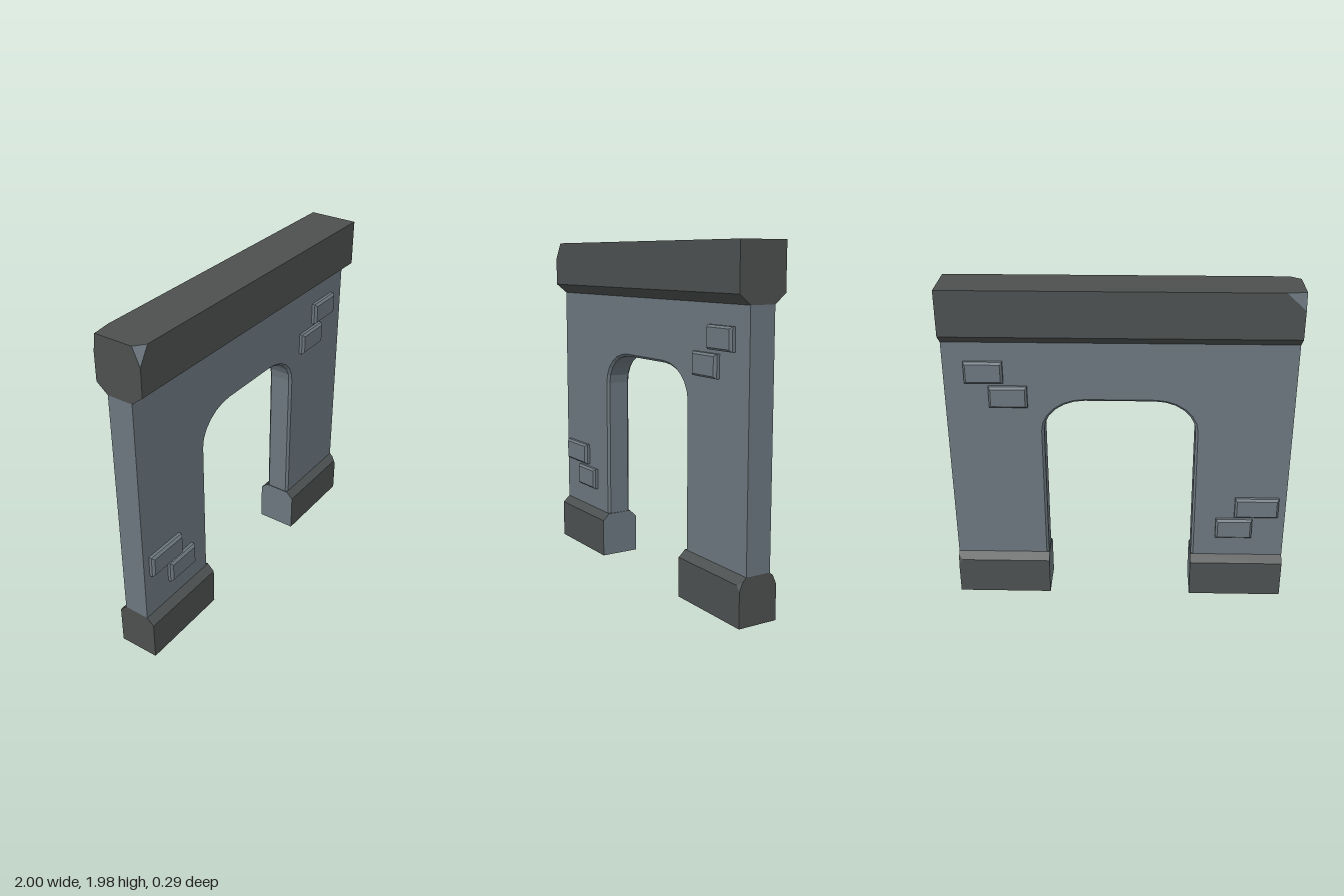
import * as THREE from 'three';

const stone = new THREE.MeshStandardMaterial({ color: 0x6b777e, side: THREE.DoubleSide });
stone.name = 'blue grey stone';
const trim = new THREE.MeshStandardMaterial({ color: 0x4d5050, side: THREE.DoubleSide });
trim.name = 'dark trim stone';

const WALL_Z = 0.077, WALL_LOW = 0.27, WALL_TOP = 1.66;

// Flat polygons, fanned into triangles; faces turn away from the given centre.
function facets(name, material, polygons, center) {
  const out = [];
  const v = (p) => new THREE.Vector3(...p);
  for (const poly of polygons) {
    const pts = poly.map(v);
    if (center) {
      const n = pts[1].clone().sub(pts[0]).cross(pts[2].clone().sub(pts[0]));
      if (n.dot(pts[0].clone().sub(v(center))) < 0) pts.reverse();
    }
    for (let i = 1; i < pts.length - 1; i++) {
      for (const p of [pts[0], pts[i], pts[i + 1]]) out.push(p.x, p.y, p.z);
    }
  }
  const geo = new THREE.BufferGeometry();
  geo.setAttribute('position', new THREE.Float32BufferAttribute(out, 3));
  geo.computeVertexNormals();
  const mesh = new THREE.Mesh(geo, material);
  mesh.name = name;
  return mesh;
}

// Doorway outline from left foot, over the rounded top, to right foot.
function archOutline(grow) {
  const w = 0.44 + grow, top = 1.302 + grow, rx = 0.24 + grow, ry = 0.19 + grow;
  const half = [[-w, WALL_LOW]];
  for (let i = 0; i <= 6; i++) {
    const a = (i / 6) * Math.PI / 2;
    half.push([-w + rx - rx * Math.cos(a), top - ry + ry * Math.sin(a)]);
  }
  return [...half, ...half.map(([x, y]) => [-x, y]).reverse()];
}

function makeWall() {
  const wall = new THREE.Group();
  wall.name = 'wall';
  const inner = archOutline(0), outer = archOutline(0.014);

  // Front and back faces
  const shape = new THREE.Shape([
    [-1, WALL_LOW], ...outer, [1, WALL_LOW], [1, WALL_TOP], [-1, WALL_TOP],
  ].map(([x, y]) => new THREE.Vector2(x, y)));
  for (const side of [1, -1]) {
    const geo = new THREE.ShapeGeometry(shape);
    if (side < 0) geo.rotateY(Math.PI);
    geo.translate(0, 0, side * WALL_Z);
    const face = new THREE.Mesh(geo, stone);
    face.name = side > 0 ? 'wallFront' : 'wallBack';
    wall.add(face);
  }

  // Bevelled edge and lining of the doorway
  const rings = [[outer, WALL_Z], [inner, WALL_Z - 0.014], [inner, -WALL_Z + 0.014], [outer, -WALL_Z]];
  const quads = [];
  for (let r = 0; r < 3; r++) {
    const [a, za] = rings[r], [b, zb] = rings[r + 1];
    for (let i = 0; i < a.length - 1; i++) {
      quads.push([[...a[i], za], [...b[i], zb], [...b[i + 1], zb], [...a[i + 1], za]]);
    }
  }
  wall.add(facets('archLining', stone, quads));

  // Outer ends
  wall.add(facets('wallEnds', stone, [-1, 1].map((x) => [
    [x, WALL_LOW, WALL_Z], [x, WALL_LOW, -WALL_Z], [x, WALL_TOP, -WALL_Z], [x, WALL_TOP, WALL_Z],
  ]), [0, 1, 0]));
  return wall;
}

// Heavy top beam with a tapered underside and two chipped corners at x = -1
function makeCap() {
  const cap = new THREE.Group();
  cap.name = 'cap';
  const Z = 0.145, T = 1.98, M = 1.715, center = [0, 1.83, 0];
  const chip = {
    front: [[-0.94, T, Z], [-1, 1.88, Z], [-1, T, 0.1]],
    back: [[-0.89, T, -Z], [-1, 1.88, -Z], [-1, T, -0.13]],
  };
  const { front: f, back: b } = chip;
  const polygons = [
    [f[0], [1, T, Z], [1, T, -Z], b[0], b[2], f[2]],
    [[-1, M, Z], [1, M, Z], [1, T, Z], f[0], f[1]],
    [[-1, M, -Z], [1, M, -Z], [1, T, -Z], b[0], b[1]],
    [[-1, WALL_TOP, WALL_Z], [-1, M, Z], f[1], f[2], b[2], b[1], [-1, M, -Z], [-1, WALL_TOP, -WALL_Z]],
    [[1, WALL_TOP, WALL_Z], [1, M, Z], [1, T, Z], [1, T, -Z], [1, M, -Z], [1, WALL_TOP, -WALL_Z]],
  ];
  for (const s of [1, -1]) {
    polygons.push([[-1, WALL_TOP, s * WALL_Z], [1, WALL_TOP, s * WALL_Z], [1, M, s * Z], [-1, M, s * Z]]);
  }
  cap.add(facets('capBlock', trim, polygons, center));
  cap.add(facets('capChips', stone, [f, b], center));
  return cap;
}

// Hollow footing, open below; its doorway side is plain stone
function makeBase(side) {
  const base = new THREE.Group();
  base.name = side > 0 ? 'leftBase' : 'rightBase';
  const Z = 0.12, M = 0.23, T = WALL_LOW, xi = side * 0.436, xo = side;
  const center = [side * 0.72, 0.13, 0];
  const chipped = side > 0;
  const polygons = [[[xi, T, WALL_Z], [xo, T, WALL_Z], [xo, T, -WALL_Z], [xi, T, -WALL_Z]]];
  const endHalf = {};
  for (const s of [1, -1]) {
    // The outer shoulder is either a plain corner or a small chip
    const corner = [xo, M, s * Z];
    const a = chipped ? [xo - 0.025, M, s * Z] : corner;
    const b = chipped ? [xo, 0.2, s * Z] : corner;
    const c = chipped ? [xo, 0.25, s * 0.0985] : corner;
    polygons.push([[xi, 0, s * Z], [xo, 0, s * Z], b, ...(chipped ? [a] : []), [xi, M, s * Z]]);
    polygons.push([[xi, T, s * WALL_Z], [xi, M, s * Z], a, ...(chipped ? [c] : []), [xo, T, s * WALL_Z]]);
    if (chipped) polygons.push([a, b, c]);
    endHalf[s] = [[xo, 0, s * Z], b, ...(chipped ? [c] : []), [xo, T, s * WALL_Z]];
  }
  polygons.push([...endHalf[1], ...endHalf[-1].reverse()]);
  base.add(facets('baseBlock', trim, polygons, center));
  base.add(facets('baseDoorwaySide', stone, [[
    [xi, 0, Z], [xi, M, Z], [xi, T, WALL_Z], [xi, T, -WALL_Z], [xi, M, -Z], [xi, 0, -Z],
  ]], center));
  return base;
}

// Raised brick with chamfered edges, on the front (s = 1) or back (s = -1)
function makeBrick([x0, x1, y0, y1], s) {
  const loop = (inset, z) => [
    [x0 + inset, y0 + inset, s * z], [x1 - inset, y0 + inset, s * z],
    [x1 - inset, y1 - inset, s * z], [x0 + inset, y1 - inset, s * z],
  ];
  const rings = [loop(0, WALL_Z - 0.01), loop(0, 0.095), loop(0.012, 0.109)];
  const polygons = [rings[2]];
  for (let r = 0; r < 2; r++) {
    for (let i = 0; i < 4; i++) {
      const j = (i + 1) % 4;
      polygons.push([rings[r][i], rings[r][j], rings[r + 1][j], rings[r + 1][i]]);
    }
  }
  return facets(s > 0 ? 'frontBrick' : 'backBrick', stone, polygons, [(x0 + x1) / 2, (y0 + y1) / 2, s * 0.08]);
}

export function createModel() {
  const model = new THREE.Group();
  model.name = 'stoneArchway';
  model.add(makeWall(), makeCap(), makeBase(1), makeBase(-1));
  const bricks = [
    [-0.955, -0.693, 0.548, 0.678], [-0.803, -0.583, 0.403, 0.533],
    [0.66, 0.88, 1.418, 1.548], [0.527, 0.747, 1.268, 1.398],
  ];
  for (const rect of bricks) for (const s of [1, -1]) model.add(makeBrick(rect, s));
  return model;
}
